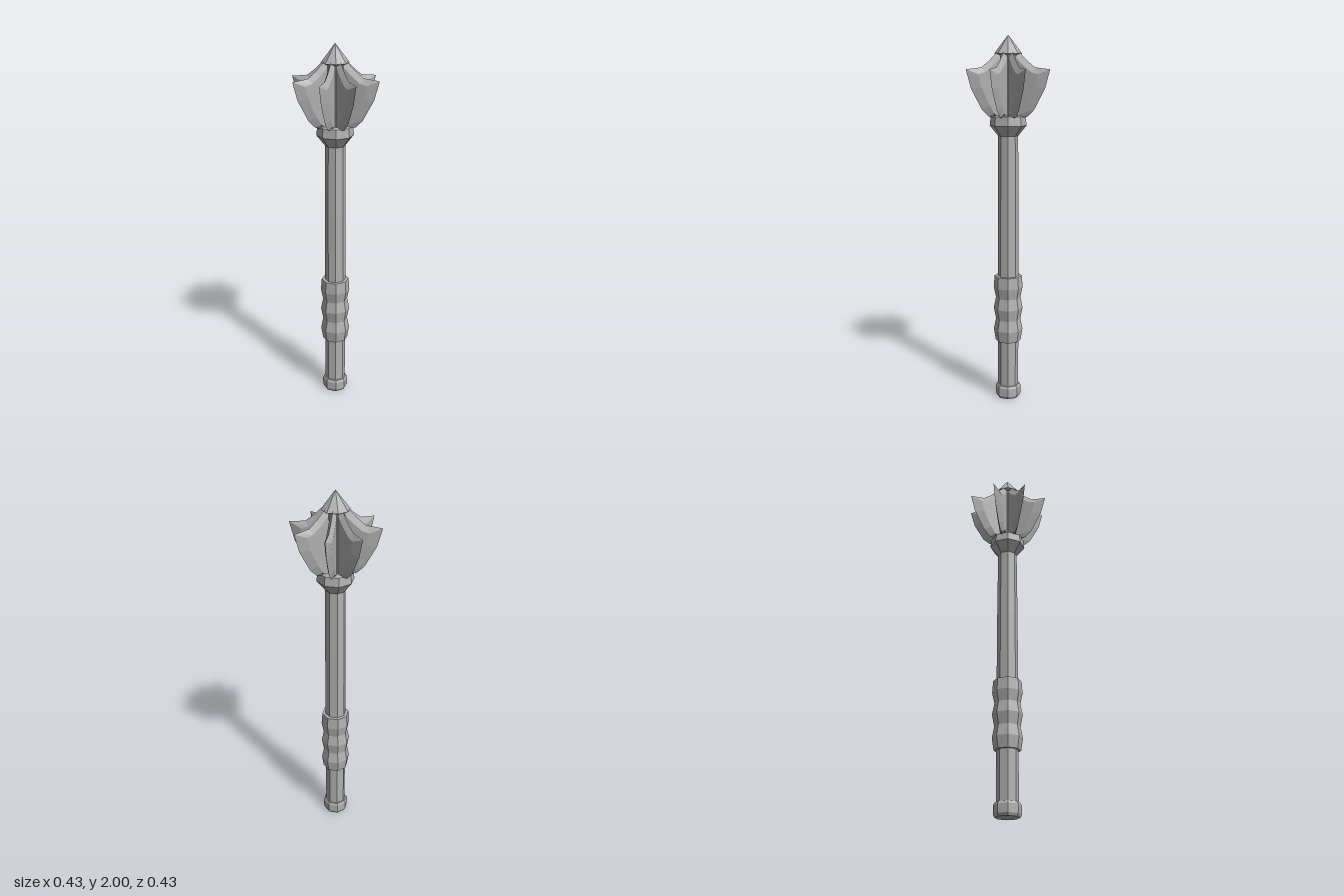
import * as THREE from 'three';

const SIDES = 8;

export function createModel() {
  const group = new THREE.Group();
  const steel = new THREE.MeshStandardMaterial({ color: 0xb0b0b0 });
  steel.name = 'grey steel';

  // Eight-sided turned part from [radius, y] pairs, bottom to top, with flat facets
  function turned(name, profile) {
    const points = profile.map(([r, y]) => new THREE.Vector2(r, y));
    const geometry = new THREE.LatheGeometry(points, SIDES).toNonIndexed();
    geometry.computeVertexNormals();
    const mesh = new THREE.Mesh(geometry, steel);
    mesh.name = name;
    group.add(mesh);
  }

  turned('pommel', [[0, 0], [0.064, 0], [0.071, 0.015], [0.071, 0.06], [0.064, 0.073], [0.05, 0.073]]);
  turned('shaft', [[0.057, 0.05], [0.057, 0.72], [0.056, 1.1], [0.053, 1.5], [0.053, 1.92]]);
  turned('grip', [
    [0.05, 0.335], [0.07, 0.335], [0.08, 0.4], [0.068, 0.46], [0.08, 0.525],
    [0.068, 0.585], [0.08, 0.645], [0.075, 0.71], [0.05, 0.71],
  ]);
  turned('collar', [[0.05, 1.475], [0.098, 1.535], [0.092, 1.583], [0.08, 1.588], [0.05, 1.588]]);
  turned('spike', [[0.05, 1.895], [0.073, 1.905], [0, 2]]);

  // Flange: sharp outer outline and thick inset outline, as [radius, y] pairs
  const edge = [[0.07, 1.575], [0.11, 1.583], [0.148, 1.62], [0.207, 1.73],
    [0.233, 1.825], [0.15, 1.835], [0.105, 1.87], [0.05, 1.925]];
  const inset = [[0.06, 1.575], [0.085, 1.6], [0.11, 1.64], [0.155, 1.735],
    [0.172, 1.8], [0.135, 1.81], [0.09, 1.845], [0.045, 1.89]];
  const half = 0.0165;
  const positions = [];
  function quad(a, b, c, d) {
    for (const p of [a, b, c, a, c, d]) positions.push(...p);
  }
  for (const side of [1, -1]) {
    const strip = (inner, outer) => {
      for (let i = 0; i < inner.length - 1; i++) {
        const q = [inner[i], outer[i], outer[i + 1], inner[i + 1]];
        quad(...(side > 0 ? q : q.reverse()));
      }
    };
    const base = inset.map(([, y]) => [0.03, y, side * half]);
    const shoulder = inset.map(([r, y]) => [r, y, side * half]);
    const rim = edge.map(([r, y]) => [r, y, 0]);
    strip(base, shoulder);
    strip(shoulder, rim);
  }
  const flangeGeometry = new THREE.BufferGeometry();
  flangeGeometry.setAttribute('position', new THREE.Float32BufferAttribute(positions, 3));
  flangeGeometry.computeVertexNormals();

  // Ring of flanges between the spike and the collar
  for (let i = 0; i < 8; i++) {
    const flange = new THREE.Mesh(flangeGeometry, steel);
    flange.name = 'flange' + (i + 1);
    flange.rotation.y = (i + 0.5) * Math.PI / 4;
    group.add(flange);
  }
  return group;
}
